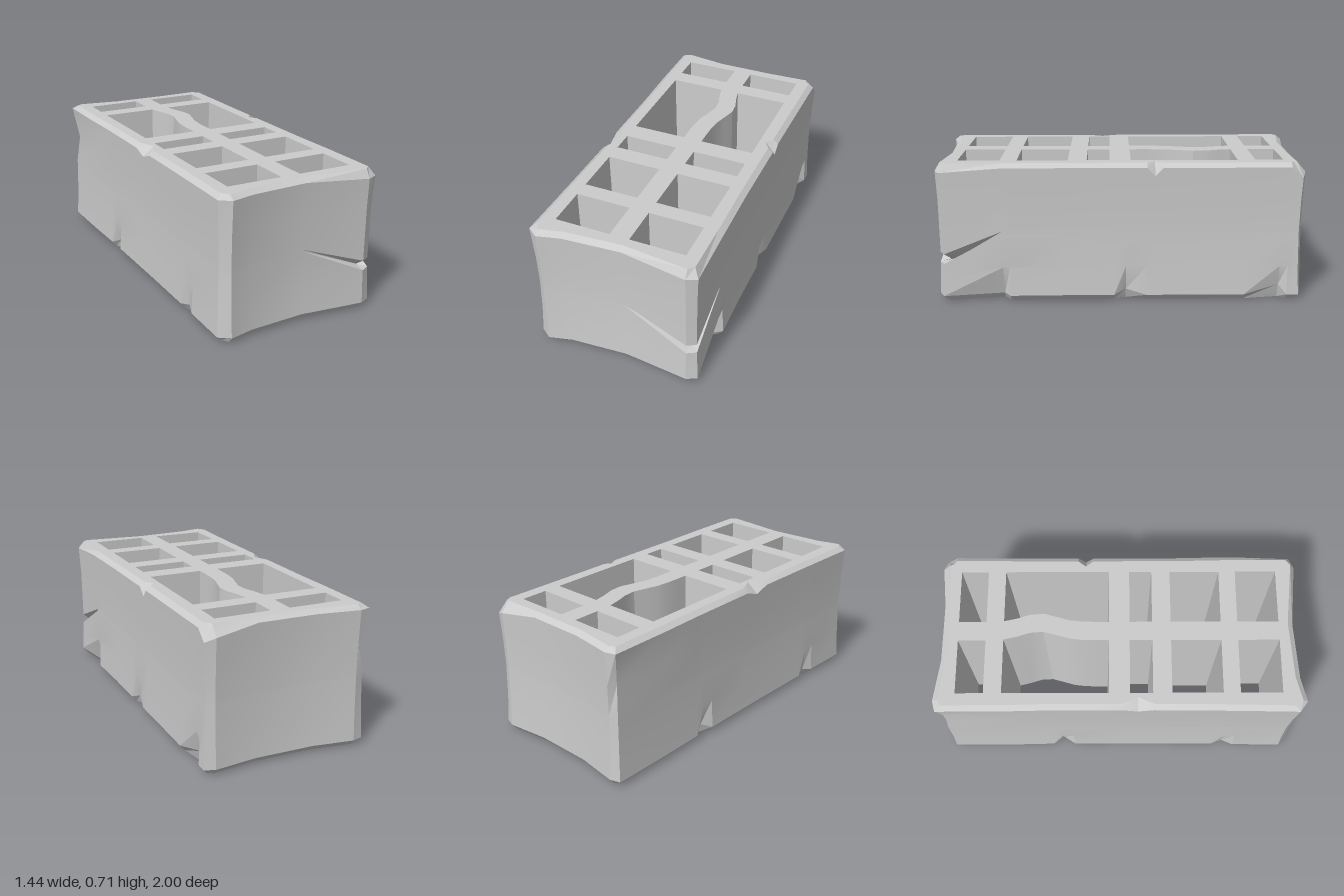
import * as THREE from 'three';
import { toCreasedNormals } from 'three/addons/utils/BufferGeometryUtils.js';

const TOP = 0.713;
const EDGE = 0.028; // width of the worn edge bevel

// Outline columns, anticlockwise from above: x, z, and chips.
// crack: corner split; low / high: [edge height, extra inset] of a chip; nick: dent at mid height
const columns = [
  // front end
  [-0.425, 0.905], [-0.37, 0.945], [-0.25, 0.915], [0.04, 0.895],
  [0.37, 0.93, { crack: 1, high: [0.67, 0] }], [0.425, 0.905, { crack: 1, high: [0.67, 0] }],
  // right side
  [0.425, 0.6, { low: [0.03, 0.05] }], [0.425, 0.565], [0.42, 0.3],
  [0.42, 0.04], [0.42, -0.02, { low: [0.055, 0.025] }],
  [0.42, -0.125], [0.42, -0.165, { high: [0.65, 0.03] }], [0.42, -0.205], [0.42, -0.33],
  [0.422, -0.62], [0.423, -0.8, { low: [0.075, 0.03] }], [0.424, -0.84],
  // back end
  [0.425, -0.9, { high: [0.64, 0.02] }], [0.37, -0.918, { high: [0.66, 0.02] }],
  [0.15, -0.89], [-0.15, -0.893],
  [-0.365, -0.925], [-0.42, -0.91, { nick: 0.02 }],
  // left side
  [-0.42, -0.6], [-0.415, -0.36], [-0.415, -0.3, { low: [0.06, 0.03] }], [-0.415, -0.24],
  [-0.415, 0.02], [-0.415, 0.1, { high: [0.665, 0.035] }], [-0.415, 0.18],
  [-0.418, 0.52], [-0.42, 0.58, { low: [0.045, 0.02] }], [-0.42, 0.64]
];

// Cavity rows: z from, z to, taper toward the bottom
const rows = [[-0.81, -0.67, 0], [-0.58, -0.045, 0.015], [0.06, 0.175, 0], [0.27, 0.525, 0.012], [0.61, 0.82, 0]];

// Moves a point of the outline toward the inside
function inset(x, z, d) {
  return [
    Math.abs(x) > 0.4 ? x - Math.sign(x) * d : x,
    Math.abs(z) > 0.85 ? z - Math.sign(z) * d : z
  ];
}

// One vertical column of the outer skin, bottom rim to top rim
function columnPoints([x, z, chip = {}]) {
  const low = chip.low ?? [0.03, 0], high = chip.high ?? [0.692, 0];
  const mid = chip.crack ? [0.12, 0.2, 0.213, 0.25] : [0.18, 0.352, 0.36, 0.368];
  const heights = [low[0], ...mid, 0.52, high[0]];
  const pushes = [low[1], 0, 0, chip.crack ? 0.055 : 0, 0, chip.nick ?? 0, 0];
  const points = heights.map((y, j) => {
    const bow = 0.012 * Math.sin(Math.PI * y / TOP);
    const [px, pz] = inset(x, z, pushes[j] + bow);
    return new THREE.Vector3(px, y, pz);
  });
  const rim = (y, d) => {
    const [px, pz] = inset(x, z, EDGE + d);
    return new THREE.Vector3(px, y, pz);
  };
  return [rim(0, low[1]), ...points, rim(TOP, high[1])];
}

// Cavity ring, clockwise from above; the middle web bends sideways in the long row
function cavity(side, [z0, z1, taper]) {
  const bend = z => 0.047 * Math.exp(-(((z + 0.4) / 0.12) ** 2));
  const steps = z1 - z0 > 0.4 ? 8 : 1;
  const ring = y => {
    const d = y > 0 ? 0 : taper;
    const a = z0 + d, b = z1 - d;
    const outer = side * (0.33 - d);
    const points = [];
    for (let i = 0; i <= steps; i++) {
      const z = a + (b - a) * i / steps;
      points.push(new THREE.Vector3(side * (0.05 + d) + bend(z), y, z));
    }
    points.push(new THREE.Vector3(outer, y, b), new THREE.Vector3(outer, y, a));
    return side > 0 ? points.reverse() : points;
  };
  // keep the solid on the left hand of the ring
  const fix = points => {
    const flat = points.map(p => new THREE.Vector2(p.x, -p.z));
    return THREE.ShapeUtils.isClockWise(flat) ? points : points.reverse();
  };
  return [fix(ring(0)), fix(ring(TOP))];
}

// Closed wall through rings of equal length
function addWall(out, rings) {
  const n = rings[0].length;
  for (let j = 0; j < rings.length - 1; j++) {
    for (let i = 0; i < n; i++) {
      const k = (i + 1) % n;
      const a = rings[j][i], b = rings[j][k], c = rings[j + 1][k], d = rings[j + 1][i];
      out.push(a, b, c, a, c, d);
    }
  }
}

// Flat face with openings
function addCap(out, contour, holes, up) {
  const flat = ring => ring.map(p => new THREE.Vector2(p.x, -p.z));
  const all = [contour, ...holes].flat();
  for (const [a, b, c] of THREE.ShapeUtils.triangulateShape(flat(contour), holes.map(flat))) {
    if (up) out.push(all[a], all[b], all[c]);
    else out.push(all[a], all[c], all[b]);
  }
}

function makeMesh(name, points, material) {
  const geometry = new THREE.BufferGeometry().setFromPoints(points);
  const mesh = new THREE.Mesh(toCreasedNormals(geometry, 0.3), material);
  mesh.name = name;
  return mesh;
}

export function createModel() {
  const model = new THREE.Group();
  model.name = 'hollowBlock';
  const material = new THREE.MeshStandardMaterial({ color: 0xcccccc });

  const skin = columns.map(columnPoints);
  const rings = skin[0].map((_, j) => skin.map(column => column[j]));
  const cavities = [-1, 1].flatMap(side => rows.map(row => cavity(side, row)));

  // Chipped outer shell
  const shell = [];
  addWall(shell, rings);
  model.add(makeMesh('outerShell', shell, material));

  // Walls of the ten cavities
  const walls = [];
  cavities.forEach(pair => addWall(walls, pair));
  model.add(makeMesh('cavityWalls', walls, material));

  // Top and bottom faces
  const top = [], bottom = [];
  addCap(top, rings[rings.length - 1], cavities.map(c => c[1]), true);
  addCap(bottom, rings[0], cavities.map(c => c[0]), false);
  model.add(makeMesh('topFace', top, material), makeMesh('bottomFace', bottom, material));

  // The block lies turned on the ground
  model.rotation.y = THREE.MathUtils.degToRad(-21);
  return model;
}
